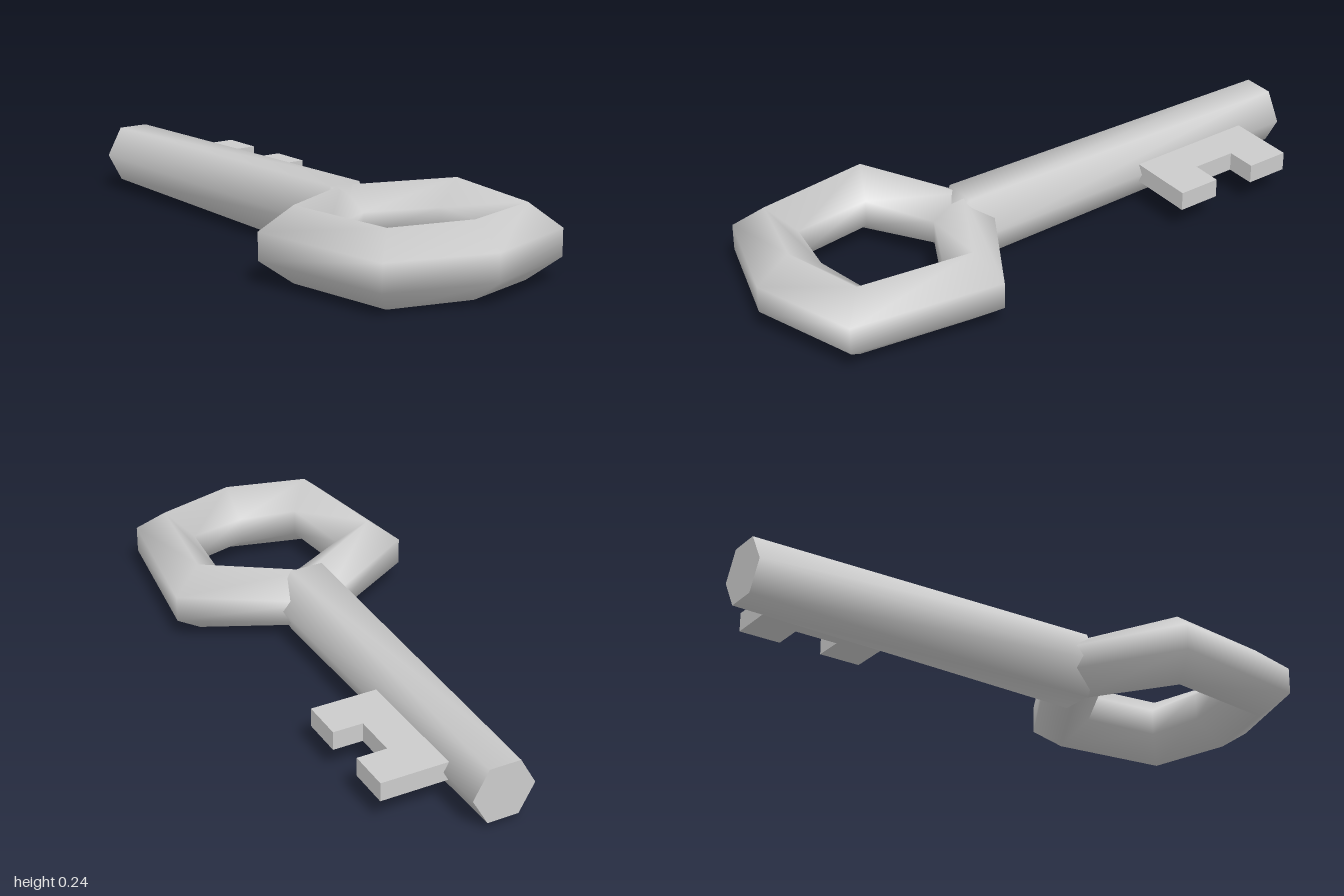
import * as THREE from 'three';

const material = new THREE.MeshStandardMaterial({ color: 0xcccccc });
const MID = 0.123; // height of the key's centre plane

function mesh(name, geometry) {
  const m = new THREE.Mesh(geometry, material);
  m.name = name;
  return m;
}

// Skin over equal-sized cross-sections; closed joins the last to the first
function loft(sections, closed) {
  const n = sections[0].length, count = sections.length, index = [];
  for (let k = 0; k < (closed ? count : count - 1); k++) {
    for (let j = 0; j < n; j++) {
      const j2 = (j + 1) % n, k2 = (k + 1) % count;
      const a = k * n + j, b = k * n + j2, c = k2 * n + j, d = k2 * n + j2;
      index.push(a, b, c, b, d, c);
    }
  }
  const g = new THREE.BufferGeometry().setFromPoints(sections.flat());
  g.setIndex(index);
  g.computeVertexNormals();
  return g;
}

// Fan that closes a section, facing -x
function cap(section) {
  const n = section.length, index = [];
  for (let j = 1; j < n - 1; j++) index.push(0, j + 1, j);
  const g = new THREE.BufferGeometry().setFromPoints(section);
  g.setIndex(index);
  g.computeVertexNormals();
  return g;
}

export function createModel() {
  const key = new THREE.Group();
  key.name = 'key';

  // Bow: six mitred corners, each [outer x, outer z, inner x, inner z, half height]
  const half = [[0.89, 0.35, 0.74, 0.195, 0.122], [0.385, 0.422, 0.475, 0.222, 0.122]];
  const mirrored = half.map(([ox, oz, ix, iz, h]) => [ox, -oz, ix, -iz, h]).reverse();
  const corners = [[1, 0, 0.775, 0, 0.122], ...half, [0.135, 0, 0.36, 0, 0.106], ...mirrored];
  const profile = [[1, -0.37], [1, 0.37], [0, 1], [-1, 0.37], [-1, -0.37], [0, -1]];
  const bow = corners.map(([ox, oz, ix, iz, h]) => profile.map(([u, v]) => new THREE.Vector3(
    (ox + ix) / 2 + u * (ox - ix) / 2,
    MID + v * h,
    (oz + iz) / 2 + u * (oz - iz) / 2)));
  key.add(mesh('bow', loft(bow, true)));

  // Shaft: tapered hexagonal bar, [x, half height, half width]
  const shaft = [[-1, 0.095, 0.106], [0.26, 0.113, 0.115], [0.31, 0.06, 0.07]].map(([x, h, w]) =>
    Array.from({ length: 6 }, (_, j) => {
      const a = Math.PI / 6 + j * Math.PI / 3;
      return new THREE.Vector3(x, MID + Math.cos(a) * h / Math.cos(Math.PI / 6), Math.sin(a) * w - 0.003);
    }));
  key.add(mesh('shaft', loft(shaft, false)));
  key.add(mesh('shaftEnd', cap(shaft[0])));

  // Bit: notched plate pointing to the back
  const outline = [[-0.835, 0.06], [-0.395, 0.06], [-0.395, 0.322], [-0.54, 0.322],
    [-0.54, 0.22], [-0.69, 0.22], [-0.69, 0.322], [-0.835, 0.322]];
  const plate = new THREE.ExtrudeGeometry(
    new THREE.Shape(outline.map(([x, y]) => new THREE.Vector2(x, y))),
    { depth: 0.064, bevelEnabled: false });
  plate.rotateX(-Math.PI / 2);
  plate.translate(0, MID - 0.032, 0);
  key.add(mesh('bit', plate));

  return key;
}
